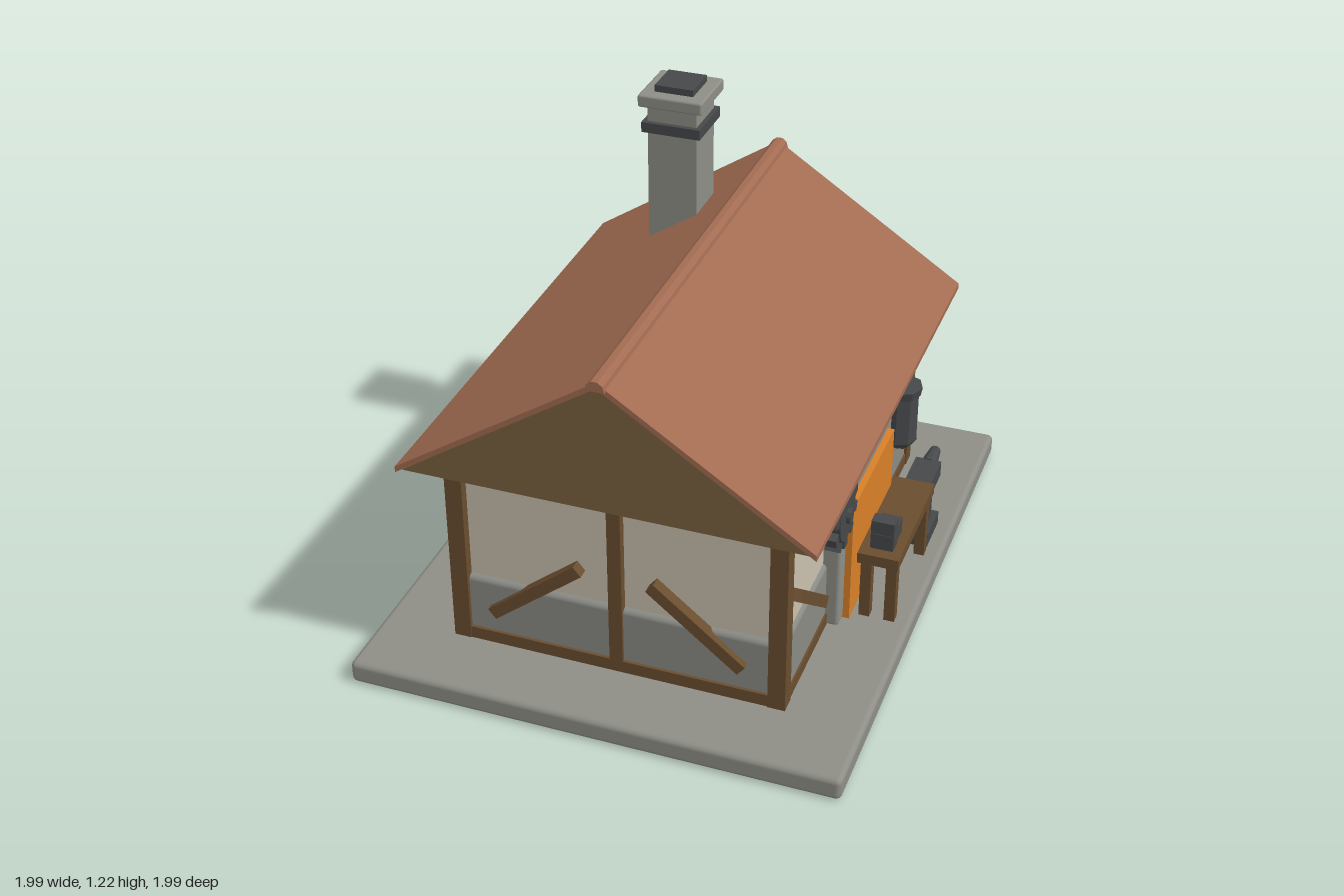
import * as THREE from 'three';
import { RoundedBoxGeometry } from 'three/addons/geometries/RoundedBoxGeometry.js';

const mat = (name, color, flatShading = false) => {
  const m = new THREE.MeshStandardMaterial({ color, flatShading });
  m.name = name;
  return m;
};

export function createModel() {
  const stone = mat('stone grey', 0x8e8e87);
  const plinthGrey = mat('plinth grey', 0x8a8a85);
  const plaster = mat('plaster', 0xc9c0ae);
  const roofTile = mat('roof tile', 0xa26c52);
  const timber = mat('dark timber', 0x6a4d2f);
  const boards = mat('gable boards', 0x79603f);
  const iron = mat('iron', 0x46484a, true);
  const ember = mat('ember orange', 0xd98029);

  const root = new THREE.Group();
  root.name = 'smithy';
  // The house stands diagonally on its axes
  const house = new THREE.Group();
  house.name = 'house';
  house.rotation.y = Math.PI / 4;
  root.add(house);

  const add = (name, geo, material, x = 0, y = 0, z = 0, parent = house) => {
    const m = new THREE.Mesh(geo, material);
    m.name = name;
    m.position.set(x, y, z);
    parent.add(m);
    return m;
  };
  // Box given by its size, bottom height and centre; r rounds the edges
  const box = (name, material, w, h, d, x, y0, z, r = 0, parent = house) =>
    add(name, r ? new RoundedBoxGeometry(w, h, d, 2, r) : new THREE.BoxGeometry(w, h, d),
      material, x, y0 + h / 2, z, parent);
  const group = (name, x = 0, y = 0, z = 0) => {
    const g = new THREE.Group();
    g.name = name;
    g.position.set(x, y, z);
    house.add(g);
    return g;
  };

  // Ground slab and walls
  box('groundSlab', stone, 1.556, 0.062, 1.273, 0, 0, 0, 0.015);
  box('plasterWalls', plaster, 1.12, 0.54, 0.84, 0, 0.06, 0, 0.02);
  box('plinth', plinthGrey, 1.15, 0.19, 0.86, 0, 0.06, 0, 0.015);

  // Timber frame on the front and the right gable end
  const P = 0.045, U = 0.563, W = 0.415;
  for (const [x, z] of [[-U, W], [U, W], [-U, -W]]) box('cornerPost', timber, P, 0.54, P, x, 0.06, z);
  for (const x of [-0.195, 0.195]) box('frontPost', timber, 0.035, 0.54, 0.04, x, 0.06, W);
  box('endPost', timber, 0.04, 0.54, 0.035, -U, 0.06, 0);
  for (const [y, h] of [[0.062, 0.034], [0.568, 0.032]]) {
    box('frontRail', timber, 2 * U, h, 0.04, 0, y, W);
    box('endRail', timber, 0.04, h, 2 * W, -U, y, 0);
  }
  for (const s of [-1, 1]) {
    box('frontBrace', timber, 0.3, 0.032, 0.03, s * 0.38, 0.238, 0.43).rotation.z = -0.68;
    box('endBrace', timber, 0.03, 0.032, 0.3, -0.578, 0.238, s * 0.21).rotation.x = s * 0.68;
  }

  // Roof: boarded prism under a chevron of tile
  const prism = (name, points, length, material) => {
    const shape = new THREE.Shape(points.map(p => new THREE.Vector2(...p)));
    const geo = new THREE.ExtrudeGeometry(shape, { depth: length, bevelEnabled: false });
    geo.translate(0, 0, -length / 2).rotateY(Math.PI / 2);
    return add(name, geo, material);
  };
  prism('gableAndSoffit', [[-0.51, 0.59], [0.51, 0.59], [0, 0.936]], 1.305, boards);
  prism('roofTiles', [[-0.525, 0.586], [0, 0.932], [0.525, 0.586], [0.525, 0.602], [0, 0.948], [-0.525, 0.602]],
    1.325, roofTile);
  prism('ridgeCap', [[-0.024, 0.928], [0.024, 0.928], [0.02, 0.944], [0.008, 0.954], [-0.008, 0.954], [-0.02, 0.944]],
    1.34, roofTile);

  // Chimney
  const chimney = group('chimney', 0.375, 0, -0.178);
  box('chimneyStack', stone, 0.134, 0.48, 0.134, 0, 0.7, 0, 0, chimney);
  box('chimneyBand', iron, 0.16, 0.028, 0.16, 0, 1.096, 0, 0, chimney);
  box('chimneyCap', stone, 0.175, 0.034, 0.175, 0, 1.168, 0, 0.006, chimney);
  box('chimneyFlue', iron, 0.105, 0.03, 0.105, 0, 1.19, 0, 0, chimney);

  // Glowing forge front in its stone surround
  box('forgeSurround', stone, 0.46, 0.41, 0.06, 0, 0.06, 0.435, 0.01);
  box('forgeGlow', ember, 0.378, 0.345, 0.04, 0, 0.062, 0.462);

  // Cog wheel on the wall
  const cog = group('cogWheel', -0.274, 0.445, 0.47);
  add('cogDisc', new THREE.CylinderGeometry(0.066, 0.066, 0.04, 20).rotateX(Math.PI / 2), iron, 0, 0, 0, cog);
  add('cogHub', new THREE.CylinderGeometry(0.02, 0.02, 0.06, 10).rotateX(Math.PI / 2), iron, 0, 0, 0, cog);
  add('cogAxle', new THREE.CylinderGeometry(0.015, 0.015, 0.06, 8).rotateX(Math.PI / 2), iron, 0, 0, -0.03, cog);
  for (let i = 0; i < 10; i++) {
    const a = (i + 0.5) * Math.PI / 5;
    add('cogTooth', new THREE.BoxGeometry(0.024, 0.026, 0.036), iron,
      Math.cos(a) * 0.082, Math.sin(a) * 0.082, 0, cog).rotation.z = a;
  }

  // Workbench with a vice
  const bench = group('workbench', 0, 0, 0.547);
  box('benchTop', timber, 0.36, 0.03, 0.107, 0, 0.237, 0, 0, bench);
  for (const x of [-0.15, 0.15]) for (const z of [-0.033, 0.033])
    box('benchLeg', timber, 0.028, 0.178, 0.028, x, 0.06, z, 0, bench);
  box('viceBody', iron, 0.095, 0.045, 0.055, -0.1, 0.266, 0, 0, bench);
  box('viceJaw', iron, 0.036, 0.08, 0.06, -0.128, 0.268, 0, 0, bench);

  // Wall lantern
  const lantern = group('lantern', 0.28, 0, 0.475);
  for (const [name, top, bottom, y0, y1] of [
    ['lanternFoot', 0.048, 0.035, 0.31, 0.33],
    ['lanternBody', 0.046, 0.046, 0.33, 0.465],
    ['lanternRim', 0.055, 0.05, 0.465, 0.49],
  ]) add(name, new THREE.CylinderGeometry(top, bottom, y1 - y0, 8), iron, 0, (y0 + y1) / 2, 0, lantern);

  // Anvil
  const anvil = group('anvil', 0.235, 0, 0.55);
  box('anvilBase', iron, 0.12, 0.038, 0.085, 0, 0.062, 0, 0, anvil);
  box('anvilWaist', iron, 0.07, 0.11, 0.055, 0, 0.098, 0, 0, anvil);
  box('anvilFace', iron, 0.15, 0.045, 0.07, 0.01, 0.2, 0, 0, anvil);
  add('anvilHorn', new THREE.CylinderGeometry(0.015, 0.024, 0.08, 10).rotateZ(-Math.PI / 2), iron,
    0.122, 0.225, 0, anvil);

  return root;
}
